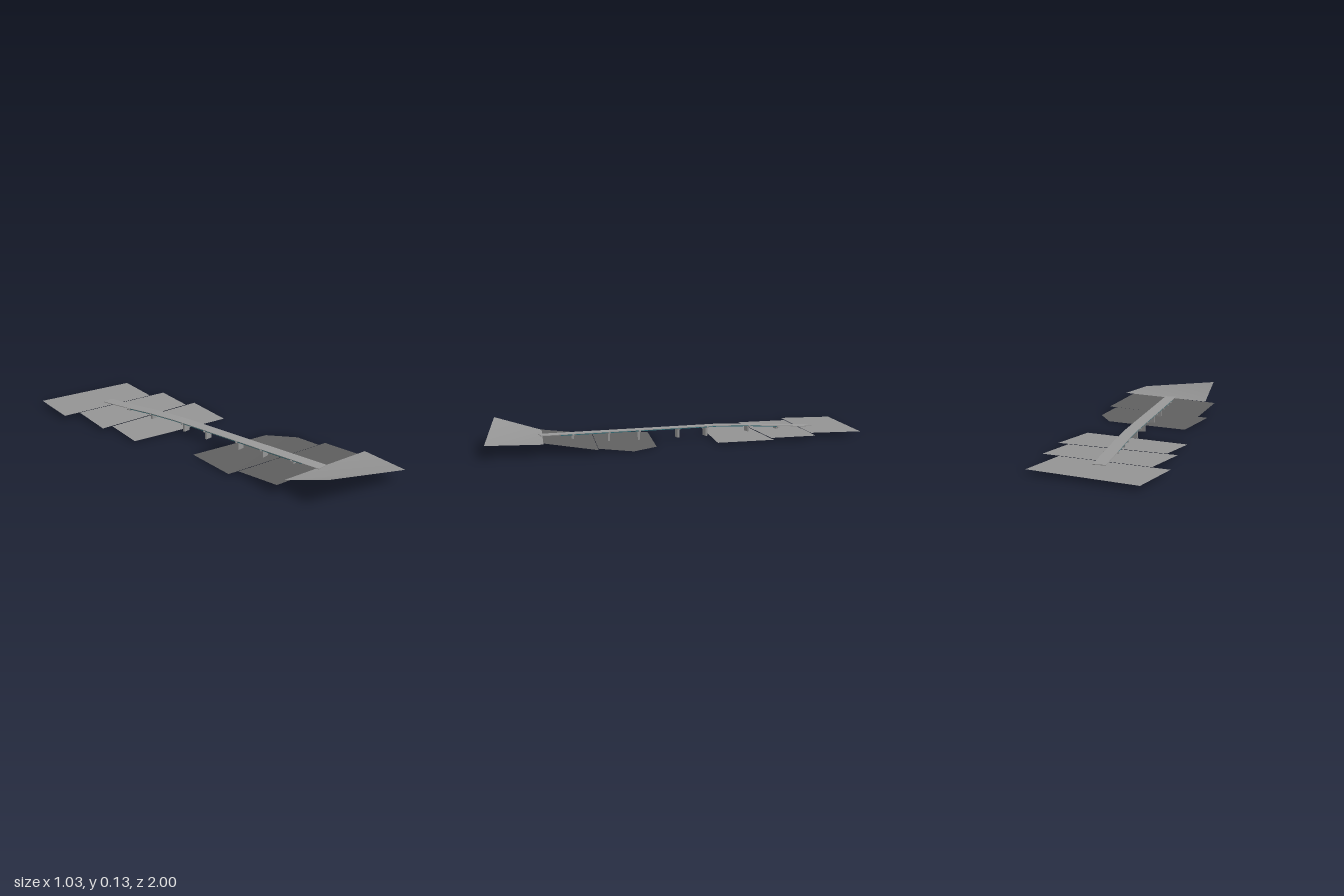
import * as THREE from 'three';

const mat = (name, color) => {
  const m = new THREE.MeshStandardMaterial({ color, side: THREE.DoubleSide });
  m.name = name;
  return m;
};

// Flat ground tile from corners [x, y, z], joined as a fan
function tile(name, corners, material) {
  const g = new THREE.BufferGeometry();
  g.setAttribute('position', new THREE.Float32BufferAttribute(corners.flat(), 3));
  const index = [];
  for (let i = 1; i < corners.length - 1; i++) index.push(0, i, i + 1);
  g.setIndex(index);
  g.computeVertexNormals();
  const m = new THREE.Mesh(g, material);
  m.name = name;
  return m;
}

// Strip that follows a side profile [s, y] along z, with a width across x
function strip(name, profile, drop, thickness, width, x, material) {
  const top = profile.map(([s, y]) => new THREE.Vector2(s, y - drop));
  const bottom = profile.map(([s, y]) => new THREE.Vector2(s, y - drop - thickness)).reverse();
  const g = new THREE.ExtrudeGeometry(new THREE.Shape([...top, ...bottom]), { depth: width, bevelEnabled: false });
  g.rotateY(-Math.PI / 2);
  g.translate(x + width / 2, 0, 0);
  const m = new THREE.Mesh(g, material);
  m.name = name;
  return m;
}

export function createModel() {
  const model = new THREE.Group();
  model.name = 'bridgeAndBanks';
  const concrete = mat('concrete', 0x999999);
  const paleGround = mat('paleGround', 0x949494);
  const darkGround = mat('darkGround', 0x606060);
  const teal = mat('tealSteel', 0x2f6f7a);

  // Far bank: three staggered tiles
  model.add(
    tile('farBankNear', [[-0.35, 0.004, -0.165], [0.245, 0.004, -0.175], [0.235, 0.012, -0.475], [-0.355, 0.011, -0.41]].reverse(), paleGround),
    tile('farBankMiddle', [[-0.415, 0.011, -0.41], [0.175, 0.012, -0.475], [0.165, 0.018, -0.72], [-0.42, 0.018, -0.69]].reverse(), paleGround),
    tile('farBankEnd', [[-0.515, 0.018, -0.69], [0.07, 0.018, -0.72], [0.065, 0.02, -1], [-0.52, 0.02, -0.99]].reverse(), paleGround),
  );
  // The near bank rises to a lighter slope
  model.add(
    tile('nearBankShore', [[-0.175, 0.008, 0.47], [0.425, 0.018, 0.45], [0.425, 0.001, 0.275], [0.3, 0, 0.15], [-0.18, 0, 0.155]], darkGround),
    tile('nearBankRise', [[-0.115, 0.008, 0.47], [-0.095, 0.04, 0.755], [0.455, 0.057, 0.73], [0.47, 0.019, 0.45]], darkGround),
    tile('nearBankSlope', [[-0.04, 0.046, 0.74], [0.015, 0.127, 0.985], [0.51, 0.058, 0.995], [0.505, 0.058, 0.715]], paleGround),
  );

  // Bridge, built along z and turned to cross the gap
  const bridge = new THREE.Group();
  bridge.name = 'bridge';
  bridge.position.set(0.005, 0, -0.017);
  bridge.rotation.y = 0.25;
  model.add(bridge);

  const profile = [[-0.785, 0.022], [-0.7, 0.026], [-0.56, 0.035], [-0.39, 0.048], [-0.2, 0.056], [0.68, 0.057], [0.785, 0.057]];
  bridge.add(strip('deck', profile, 0, 0.003, 0.066, 0, concrete));
  for (const side of [-1, 1])
    bridge.add(strip(side > 0 ? 'leftGirder' : 'rightGirder', profile.slice(2, 6), 0.003, 0.004, 0.003, side * 0.03, teal));

  // Piers: [distance along the bridge, foot height, deck height]
  const piers = [[0.616, 0.024, 0.057], [0.42, 0.004, 0.057], [0.255, 0, 0.057], [0.028, 0, 0.056],
    [-0.137, 0, 0.056], [-0.39, 0.01, 0.048], [-0.571, 0.014, 0.034]];
  const box = (name, w, h, d, y) => {
    const m = new THREE.Mesh(new THREE.BoxGeometry(w, h, d), concrete);
    m.name = name;
    m.position.y = y;
    return m;
  };
  for (const [s, foot, deck] of piers) {
    const pier = new THREE.Group();
    pier.name = 'pier';
    pier.position.z = s;
    const top = deck - 0.004;
    pier.add(box('pierCap', 0.077, 0.006, 0.01, top - 0.003));
    pier.add(box('pierStem', 0.04, top - 0.005 - foot, 0.012, (top - 0.005 + foot) / 2));
    bridge.add(pier);
  }
  return model;
}
